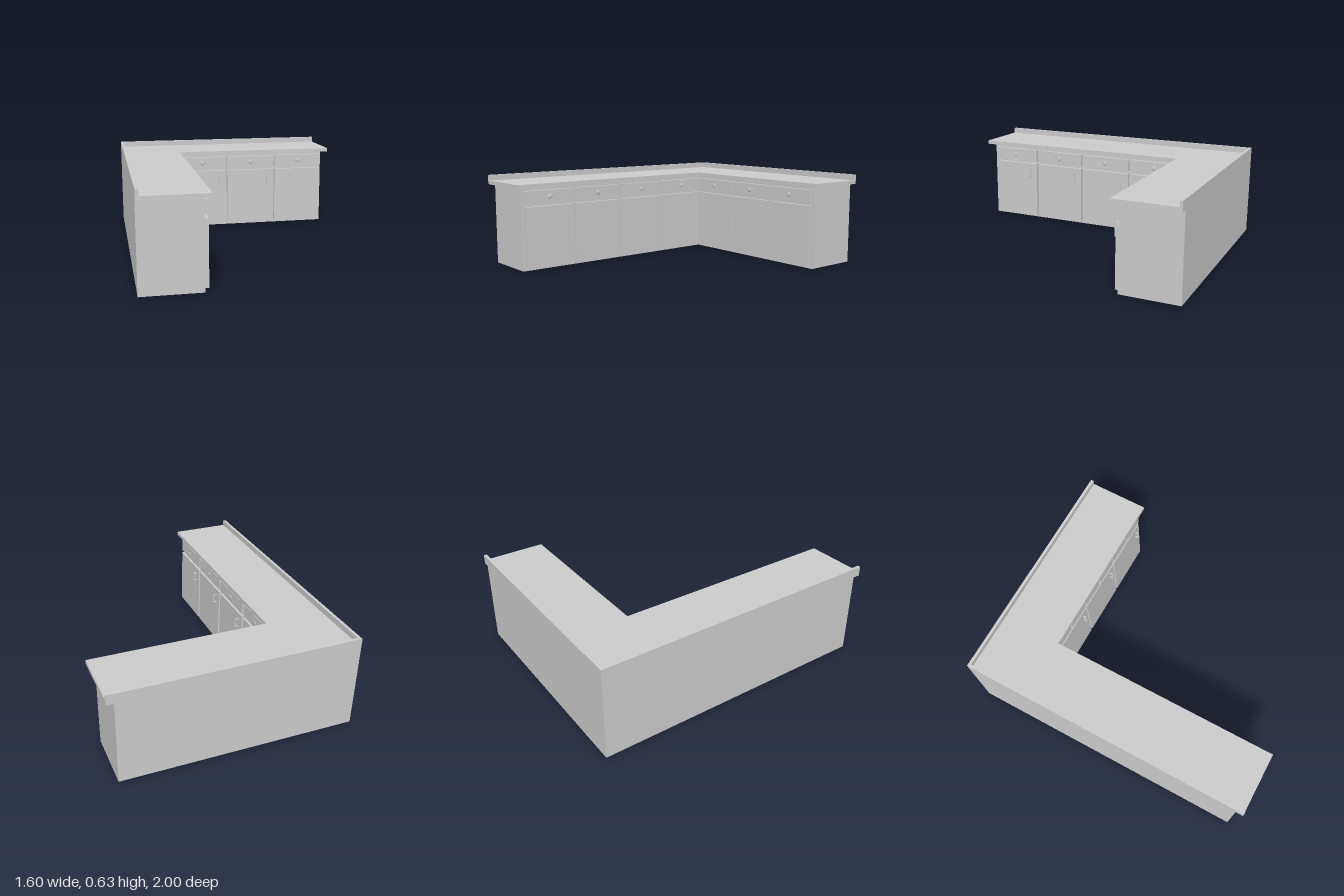
import * as THREE from 'three';

const material = new THREE.MeshStandardMaterial({ color: 0xcccccc });

function addMesh(parent, name, geometry, x = 0, y = 0, z = 0) {
  const mesh = new THREE.Mesh(geometry, material);
  mesh.name = name;
  mesh.position.set(x, y, z);
  parent.add(mesh);
  return mesh;
}

// L-shaped slab: corner at (-0.8, -1), one arm along +x, one along +z
function lSlab(endX, endZ, innerX, innerZ, height) {
  const points = [[-0.8, 1], [-0.8, -endZ], [innerX, -endZ], [innerX, -innerZ], [endX, -innerZ], [endX, 1]];
  const shape = new THREE.Shape(points.map(([x, y]) => new THREE.Vector2(x, y)));
  return new THREE.ExtrudeGeometry(shape, { depth: height, bevelEnabled: false }).rotateX(-Math.PI / 2);
}

// Bracket-shaped pull standing out from the door
function pullGeometry() {
  const outline = [[0, 0], [0.026, 0], [0.026, 0.064], [0, 0.064], [0, 0.058], [0.02, 0.058], [0.02, 0.006], [0, 0.006]];
  const shape = new THREE.Shape(outline.map(([x, y]) => new THREE.Vector2(x, y)));
  const geometry = new THREE.ExtrudeGeometry(shape, { depth: 0.008, bevelEnabled: false });
  return geometry.translate(0, -0.032, -0.004).rotateY(-Math.PI / 2);
}

// Shallow domed drawer knob, facing +z
function knobGeometry() {
  const profile = [[0, 0], [0.01, 0], [0.016, 0.004], [0.016, 0.007], [0.011, 0.01], [0, 0.011]];
  return new THREE.LatheGeometry(profile.map(([r, y]) => new THREE.Vector2(r, y)), 20).rotateX(Math.PI / 2);
}

// One bay: door with pull and drawer with knob, built around x = 0 on the z = 0 plane
function cabinetBay(width) {
  const bay = new THREE.Group();
  const depth = 0.025;
  bay.name = 'cabinetBay';
  addMesh(bay, 'door', new THREE.BoxGeometry(width, 0.413, depth), 0, 0.2265, depth / 2);
  addMesh(bay, 'drawerFront', new THREE.BoxGeometry(width, 0.088, depth), 0, 0.497, depth / 2);
  addMesh(bay, 'drawerKnob', knobGeometry(), 0, 0.497, depth);
  addMesh(bay, 'doorPull', pullGeometry(), width / 2 - 0.05, 0.362, depth);
  return bay;
}

export function createModel() {
  const model = new THREE.Group();
  model.name = 'cornerCounter';

  // Cabinet body and worktop
  addMesh(model, 'cabinetBody', lSlab(0.755, 0.95, -0.415, -0.61, 0.562));
  addMesh(model, 'worktop', lSlab(0.8, 1, -0.375, -0.57, 0.026), 0, 0.562, 0);

  // Raised lip along both wall sides
  addMesh(model, 'backsplash', lSlab(0.8, 1, -0.78, -0.98, 0.039), 0, 0.588, 0);

  // Three bays on the back arm, facing +z
  for (let i = 0; i < 3; i++) {
    const bay = cabinetBay(0.366);
    bay.position.set(-0.201 + i * 0.379, 0, -0.61);
    model.add(bay);
  }

  // Four bays on the long arm, facing +x
  for (let i = 0; i < 4; i++) {
    const bay = cabinetBay(0.363);
    bay.rotation.y = Math.PI / 2;
    bay.position.set(-0.415, 0, 0.75 - i * 0.384);
    model.add(bay);
  }

  return model;
}
